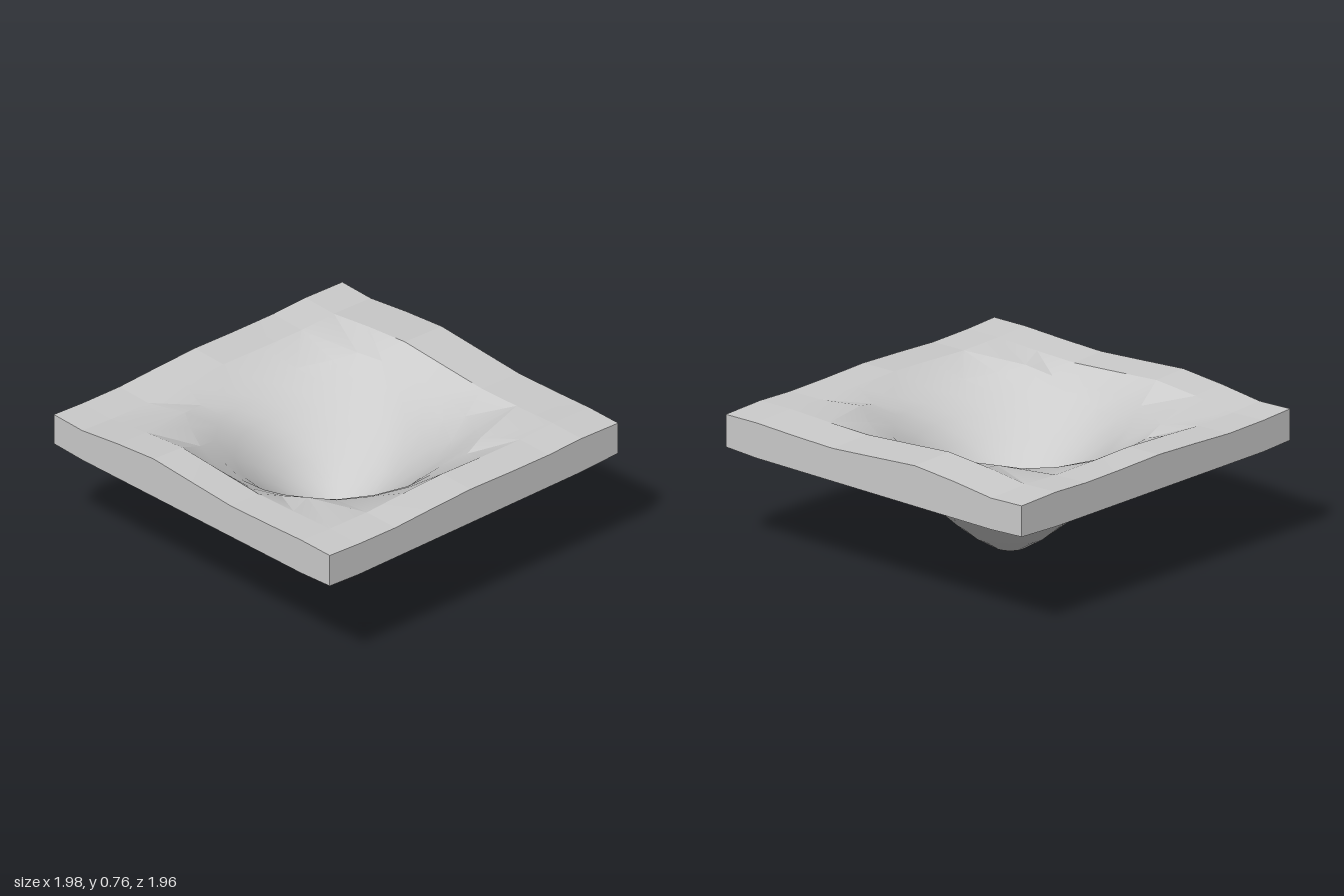
import * as THREE from 'three';
import { toCreasedNormals } from 'three/addons/utils/BufferGeometryUtils.js';

// grid lines of the slab, and gentle waves of its top along x and z
const X = [-0.995, -0.79, -0.54, -0.28, -0.01, 0.27, 0.52, 0.78, 0.985];
const Z = [-0.98, -0.73, -0.51, -0.25, 0.02, 0.28, 0.53, 0.78, 0.975];
const WAVE_X = [0.722, 0.704, 0.732, 0.752, 0.732, 0.712, 0.716, 0.724, 0.73];
const WAVE_Z = [0.01, 0.008, 0, 0.003, 0.01, 0, -0.012, -0.008, 0.012];
const BASE = 0.53;
const MID_Z = 0.02;

// funnel rings: radius, extra radius and extra height towards the corners, twist, height of underside
const RINGS = [
  [0.67, 0.24, 0.17, 9, 0.455], [0.58, 0.06, 0.04, 23, 0.405], [0.49, 0, 0, 36, 0.335],
  [0.395, 0, 0, 50, 0.25], [0.295, 0, 0, 66, 0.162], [0.195, 0, 0, 84, 0.08],
  [0.085, 0, 0, 110, 0.012], [0, 0, 0, 110, 0],
];

const waveAt = (i, j) => WAVE_X[i] + WAVE_Z[j] - BASE;

// rim point: the outer edge is slightly thinner than the rest
function rimPoint([i, j], top) {
  const edge = (i % 8 === 0 ? 1 : 0) + (j % 8 === 0 ? 1 : 0);
  const y = top ? BASE + waveAt(i, j) - 0.01 * edge : BASE + 0.01 * edge;
  return new THREE.Vector3(X[i], y, Z[j]);
}

// point of a funnel ring, on the spiral arm that starts at a hole point
function funnelPoint([i, j], [radius, cornerR, cornerY, twist, height], top) {
  const x = X[i], z = Z[j] - MID_Z;
  const corner = Math.hypot(x, z) - 0.78;
  const r = radius + cornerR * corner;
  const y = height + cornerY * corner;
  const angle = Math.atan2(z, x) + THREE.MathUtils.degToRad(twist);
  const thick = THREE.MathUtils.lerp(0.19, waveAt(i, j), (y / BASE) ** 3);
  return new THREE.Vector3(r * Math.cos(angle), y + (top ? thick : 0), MID_Z + r * Math.sin(angle));
}

// grid indices around a square, starting along the back
function perimeter(lo, hi) {
  const list = [];
  for (let k = lo; k < hi; k++) list.push([k, lo]);
  for (let k = lo; k < hi; k++) list.push([hi, k]);
  for (let k = hi; k > lo; k--) list.push([k, hi]);
  for (let k = hi; k > lo; k--) list.push([lo, k]);
  return list;
}

// quads between two closed loops of equal length
function band(a, b) {
  return a.map((p, k) => {
    const n = (k + 1) % a.length;
    return [p, a[n], b[n], b[k]];
  });
}

function meshFrom(name, quads, crease) {
  const pos = [];
  for (const [a, b, c, d] of quads) {
    // split each quad along its shorter diagonal
    const tris = a.distanceTo(c) <= b.distanceTo(d) ? [a, b, c, a, c, d] : [a, b, d, b, c, d];
    tris.forEach((p) => pos.push(p.x, p.y, p.z));
  }
  const geo = new THREE.BufferGeometry();
  geo.setAttribute('position', new THREE.Float32BufferAttribute(pos, 3));
  const mat = new THREE.MeshStandardMaterial({ color: 0xcccccc, side: THREE.DoubleSide });
  const mesh = new THREE.Mesh(toCreasedNormals(geo, crease), mat);
  mesh.name = name;
  return mesh;
}

export function createModel() {
  const group = new THREE.Group();
  group.name = 'whirlpoolTile';
  const outer = perimeter(0, 8), hole = perimeter(1, 7);

  for (const top of [true, false]) {
    const side = top ? 'top' : 'underside';
    const facing = (quads) => (top ? quads.map((q) => [...q].reverse()) : quads);

    // square rim around the funnel
    const rim = [];
    for (let i = 0; i < 8; i++) {
      for (let j = 0; j < 8; j++) {
        if (i % 7 && j % 7) continue;
        rim.push([[i, j], [i + 1, j], [i + 1, j + 1], [i, j + 1]].map((p) => rimPoint(p, top)));
      }
    }
    group.add(meshFrom(side + 'Rim', facing(rim), 0.02));

    // twisting funnel
    const loops = [hole.map((p) => rimPoint(p, top))];
    RINGS.forEach((ring) => loops.push(hole.map((p) => funnelPoint(p, ring, top))));
    const funnel = loops.slice(1).flatMap((loop, n) => band(loops[n], loop));
    group.add(meshFrom(side + 'Funnel', facing(funnel), 0.3));
  }

  // outer side walls
  const topEdge = outer.map((p) => rimPoint(p, true));
  const bottomEdge = outer.map((p) => rimPoint(p, false));
  group.add(meshFrom('slabSides', band(topEdge, bottomEdge), 0.02));
  return group;
}
